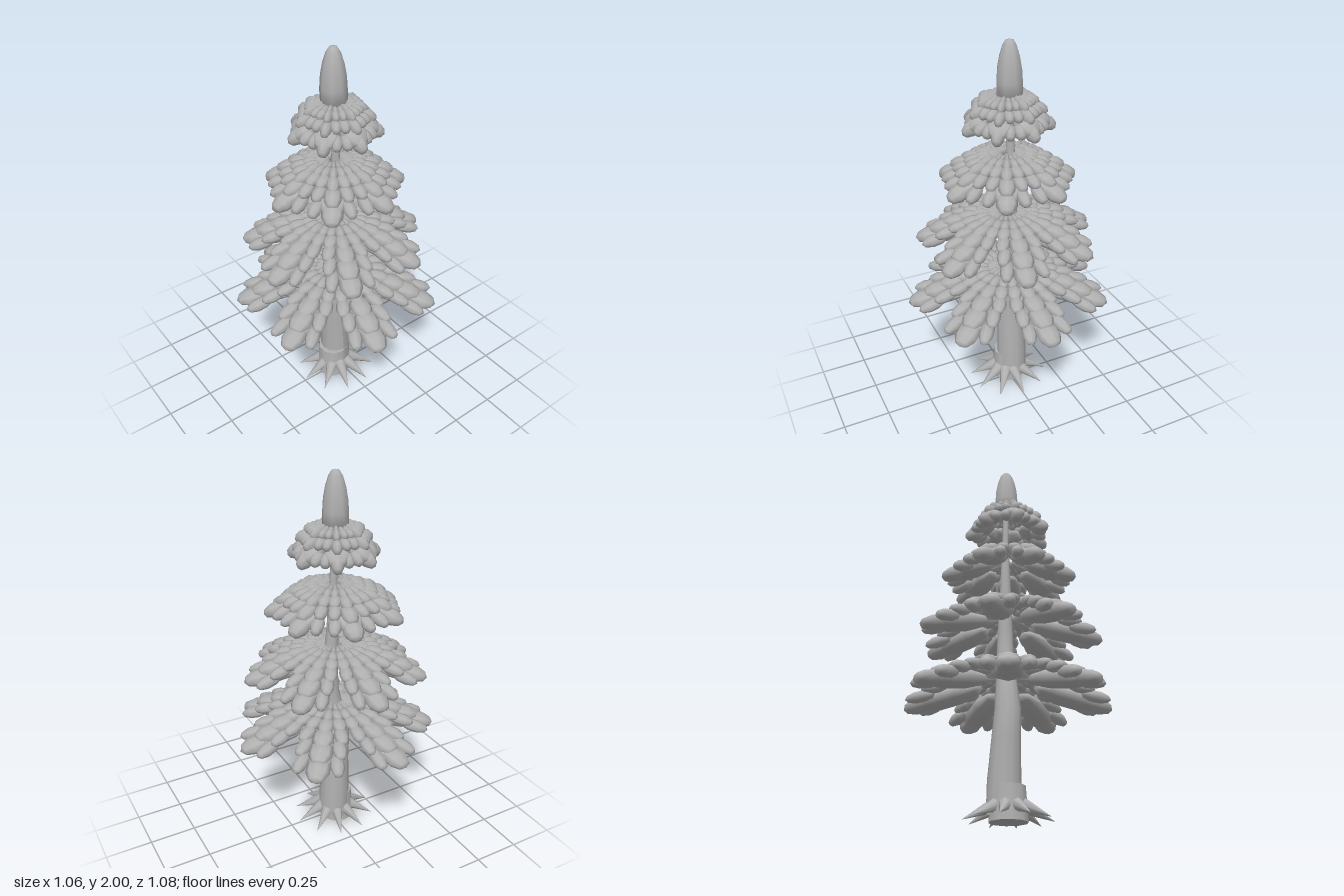
import * as THREE from 'three';
import { mergeGeometries } from 'three/addons/utils/BufferGeometryUtils.js';

const grey = new THREE.MeshStandardMaterial({ color: 0xb0b0b0 });
grey.name = 'plain grey';

const lerp = THREE.MathUtils.lerp;
const STEP = Math.PI * 2 / 7;

function part(name, geometry, parent) {
  const mesh = new THREE.Mesh(geometry, grey);
  mesh.name = name;
  parent.add(mesh);
  return mesh;
}

// One plump scale: a coarse ellipsoid lying at radius r, swung by angle and drooping by pitch
function scale(length, width, thick, r, y, angle, yaw, pitch) {
  const g = new THREE.SphereGeometry(1, 8, 5);
  g.rotateZ(-Math.PI / 2);
  g.scale(length, thick, width);
  g.rotateZ(-pitch);
  g.rotateY(-yaw);
  g.translate(r * Math.cos(angle), y, r * Math.sin(angle));
  return g;
}

// Bough along +x: rows that close into full rings near the trunk and separate further out
function boughGeometry({ rows, r0, r1, y0, y1, width, inner, length, pitch, core }) {
  const list = [];
  for (let i = 0; i < rows; i++) {
    const t = i / (rows - 1);
    const r = lerp(r0, r1, t);
    const y = lerp(y0, y1, t * t);
    const l = lerp(inner, length, t);
    const p = lerp(0.08, pitch, t);
    const thick = lerp(0.028, 0.041, t);
    const ringWidth = r * STEP / 6 * 1.25;
    list.push(scale(l, Math.min(width, ringWidth), thick, r, y, 0, 0, p));
    const swing = Math.min(STEP / 3, width * 1.5 / r);
    for (const s of [-1, 1]) {
      list.push(scale(l * 0.85, Math.min(width * 0.6, ringWidth), thick * 0.8,
        r - 0.02 * t, y + 0.012 * t, s * swing, s * swing * 1.25, p));
    }
  }
  // Thick underside of the bough
  const [coreR, coreY, coreLength, coreThick] = core;
  list.push(scale(coreLength, width * 1.3, coreThick, coreR, coreY, 0, 0, pitch * 0.9));
  return mergeGeometries(list);
}

// Trunk stations: height, centre x, centre z, radius
const STATIONS = [
  [0.03, -0.015, -0.02, 0.086], [0.2, -0.017, -0.02, 0.083],
  [0.4, -0.027, -0.015, 0.073], [0.55, -0.041, -0.012, 0.067],
  [0.7, -0.018, -0.008, 0.055], [0.85, 0.002, -0.006, 0.045],
  [1.0, 0.001, -0.006, 0.04], [1.2, -0.01, -0.01, 0.031],
  [1.55, -0.015, -0.013, 0.017], [1.78, -0.02, -0.01, 0.015],
];

function trunkGeometry() {
  const n = STATIONS.length - 1;
  const g = new THREE.CylinderGeometry(1, 1, n, 12, n, true);
  const p = g.attributes.position;
  for (let i = 0; i < p.count; i++) {
    const [y, cx, cz, r] = STATIONS[Math.round(p.getY(i) + n / 2)];
    p.setXYZ(i, cx + p.getX(i) * r, y, cz + p.getZ(i) * r);
  }
  g.computeVertexNormals();
  return g;
}

export function createModel() {
  const tree = new THREE.Group();
  tree.name = 'tree';

  part('trunk', trunkGeometry(), tree);

  // Stump collar at the foot
  const stump = part('stump', new THREE.CylinderGeometry(0.083, 0.096, 0.17, 10), tree);
  stump.position.set(-0.04, 0.085, -0.008);

  // Ten pointed roots
  const roots = new THREE.Group();
  roots.name = 'roots';
  roots.position.set(-0.025, 0, 0);
  tree.add(roots);
  const rootGeo = new THREE.ConeGeometry(0.036, 0.17, 8);
  rootGeo.rotateZ(-Math.PI / 2 - 0.42);
  rootGeo.translate(0.146, 0.046, 0);
  for (let i = 0; i < 10; i++) {
    part('root', rootGeo, roots).rotation.y = i * Math.PI / 5;
  }

  // Four tiers of seven boughs, each turned a quarter step further
  const tiers = [
    { cx: -0.02, rows: 6, r0: 0.08, r1: 0.464, y0: 0.746, y1: 0.618, width: 0.064, inner: 0.05,
      length: 0.092, pitch: 0.24, core: [0.32, 0.645, 0.19, 0.046] },
    { cx: -0.03, rows: 6, r0: 0.075, r1: 0.405, y0: 1.08, y1: 0.954, width: 0.06, inner: 0.048,
      length: 0.088, pitch: 0.26, core: [0.28, 0.982, 0.17, 0.046] },
    { cx: -0.03, rows: 5, r0: 0.068, r1: 0.295, y0: 1.418, y1: 1.296, width: 0.058, inner: 0.045,
      length: 0.076, pitch: 0.38, core: [0.21, 1.33, 0.13, 0.042] },
    { cx: -0.027, rows: 4, r0: 0.078, r1: 0.186, y0: 1.72, y1: 1.592, width: 0.054, inner: 0.036,
      length: 0.06, pitch: 0.5, core: [0.145, 1.625, 0.08, 0.038] },
  ];
  tiers.forEach((t, k) => {
    const tier = new THREE.Group();
    tier.name = 'foliageTier';
    tier.position.x = t.cx;
    tree.add(tier);
    const geo = boughGeometry(t);
    for (let i = 0; i < 7; i++) {
      part('bough', geo, tier).rotation.y = -(i + k / 4) * STEP;
    }
  });

  // Blunt bud at the top
  const profile = [[0, 1.7], [0.068, 1.7], [0.067, 1.8], [0.063, 1.86], [0.052, 1.92],
    [0.036, 1.97], [0.02, 1.995], [0, 2]].map(([x, y]) => new THREE.Vector2(x, y));
  const bud = part('crownBud', new THREE.LatheGeometry(profile, 8), tree);
  bud.position.set(-0.024, 0, -0.012);

  return tree;
}
